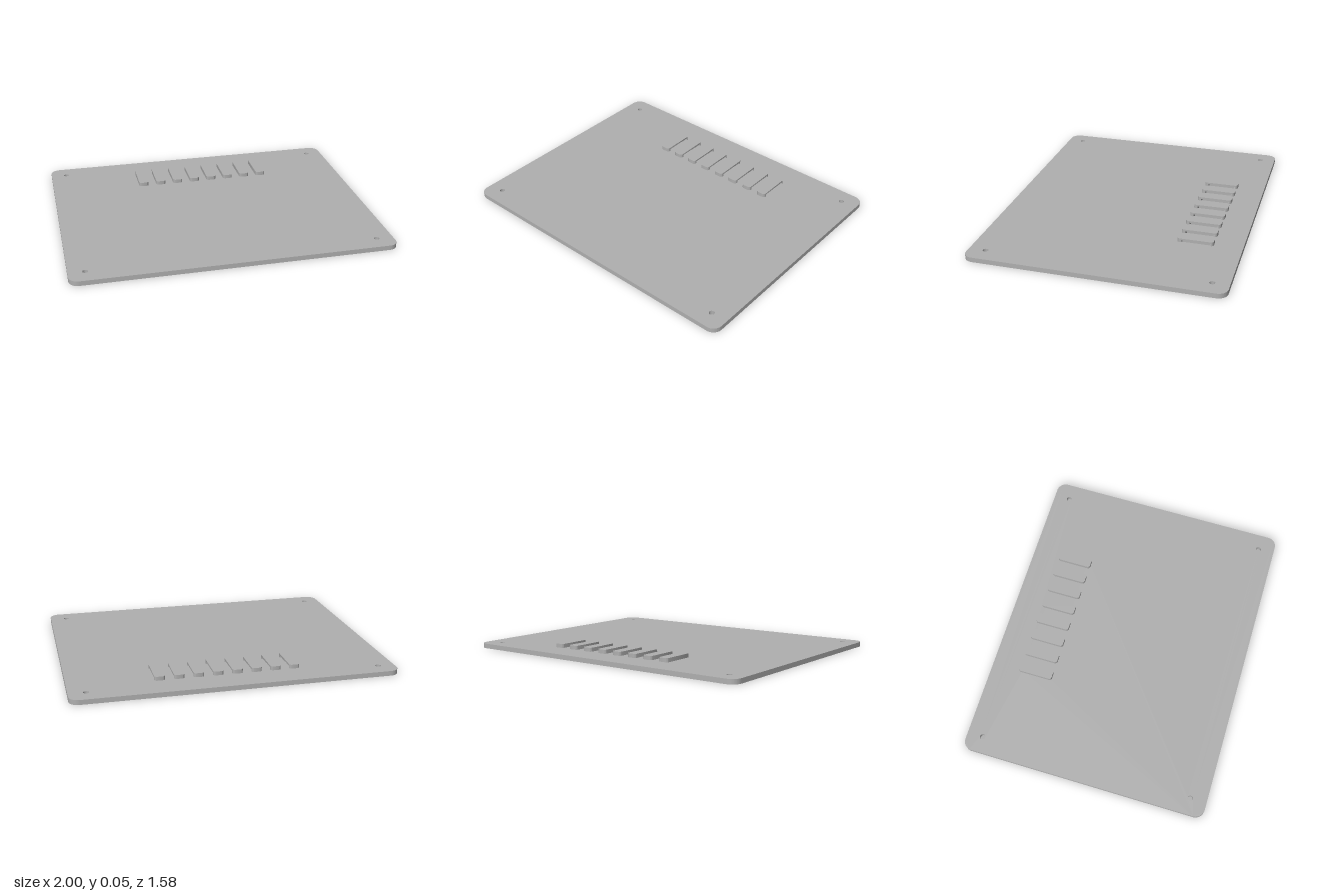
import * as THREE from 'three';
import { toCreasedNormals } from 'three/addons/utils/BufferGeometryUtils.js';

const PLATE_TOP = 0.03, ROOF_Y = 0.044, HOOD_TOP = 0.055;
const HOOD_Z = -0.5, HALF_W = 0.0325, HALF_L = 0.1125, CORNER = 0.017;
const OPEN_L = 0.088, INNER_X = -0.017; // vent opening: half length and inner wall
const SLOT_X = 0.024;                   // outer edge of the slot through the plate

// Outlines are drawn in plan, with shape y = -z
function roundedRect(hw, hh, r) {
  const s = new THREE.Shape();
  s.absarc(hw - r, hh - r, r, 0, Math.PI / 2);
  s.absarc(-hw + r, hh - r, r, Math.PI / 2, Math.PI);
  s.absarc(-hw + r, -hh + r, r, Math.PI, Math.PI * 1.5);
  s.absarc(hw - r, -hh + r, r, Math.PI * 1.5, Math.PI * 2);
  s.closePath();
  return s;
}

// Three-sided wall, open towards +x
function hoodWall() {
  const s = new THREE.Shape(), w = HALF_W, l = HALF_L, r = CORNER;
  s.moveTo(w, OPEN_L);
  s.absarc(w - r, l - r, r, 0, Math.PI / 2);
  s.absarc(-w + r, l - r, r, Math.PI / 2, Math.PI);
  s.absarc(-w + r, -l + r, r, Math.PI, Math.PI * 1.5);
  s.absarc(w - r, -l + r, r, Math.PI * 1.5, Math.PI * 2);
  s.lineTo(w, -OPEN_L);
  s.lineTo(INNER_X, -OPEN_L);
  s.lineTo(INNER_X, OPEN_L);
  s.closePath();
  return s;
}

// Extrude a plan outline upwards from y0 to y1
function slab(shape, y0, y1) {
  const g = new THREE.ExtrudeGeometry(shape, { depth: y1 - y0, bevelEnabled: false, curveSegments: 10 });
  g.rotateX(-Math.PI / 2);
  g.translate(0, y0, 0);
  return toCreasedNormals(g, 0.6);
}

export function createModel() {
  const model = new THREE.Group();
  model.name = 'ventedCoverPlate';
  const grey = new THREE.MeshStandardMaterial({ color: 0xb0b0b0 });
  grey.name = 'metalGrey';

  const add = (parent, name, geometry) => {
    const mesh = new THREE.Mesh(geometry, grey);
    mesh.name = name;
    parent.add(mesh);
  };

  const ventX = Array.from({ length: 8 }, (_, i) => -0.384 + i * 0.1193);

  // Plate with four screw holes and a slot under each vent hood
  const plate = roundedRect(1, 0.79, 0.06);
  for (const x of [-0.897, 0.894]) {
    for (const z of [-0.688, 0.685]) {
      plate.holes.push(new THREE.Path().absarc(x, -z, 0.017, 0, Math.PI * 2, true));
    }
  }
  for (const x of ventX) {
    const a = x + INNER_X, b = x + SLOT_X, lo = -HOOD_Z - OPEN_L, hi = -HOOD_Z + OPEN_L;
    plate.holes.push(new THREE.Path([
      new THREE.Vector2(a, lo), new THREE.Vector2(a, hi),
      new THREE.Vector2(b, hi), new THREE.Vector2(b, lo),
    ]));
  }
  add(model, 'plate', slab(plate, 0, PLATE_TOP));

  // Row of vent hoods, each a wall with a roof
  const wall = slab(hoodWall(), PLATE_TOP, ROOF_Y);
  const roof = slab(roundedRect(HALF_W, HALF_L, CORNER), ROOF_Y, HOOD_TOP);
  for (const x of ventX) {
    const hood = new THREE.Group();
    hood.name = 'ventHood';
    hood.position.set(x, 0, HOOD_Z);
    add(hood, 'hoodWall', wall);
    add(hood, 'hoodRoof', roof);
    model.add(hood);
  }
  return model;
}
